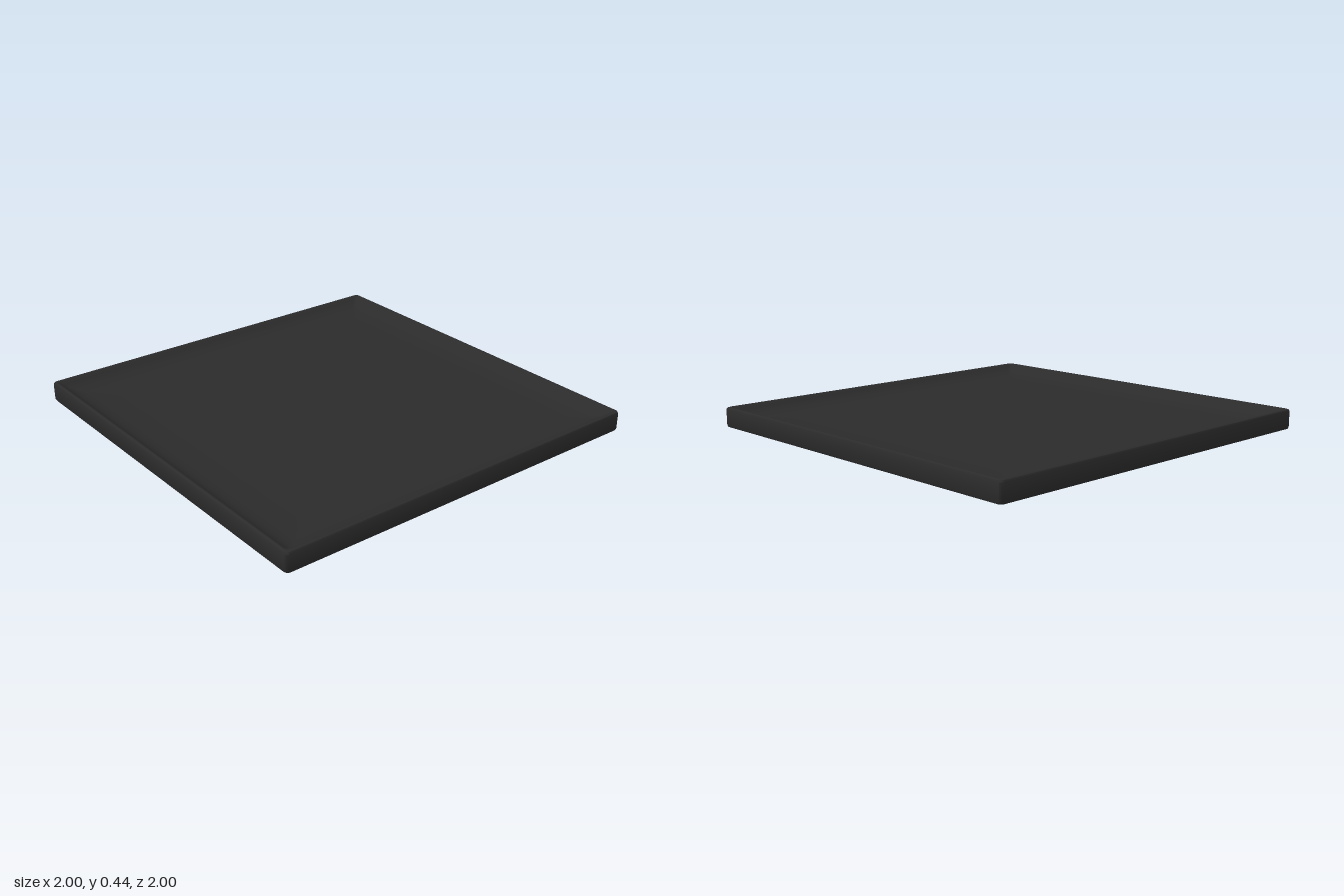
import * as THREE from 'three';
import { toCreasedNormals } from 'three/addons/utils/BufferGeometryUtils.js';

// Stack of rounded-square rings; each ring is [half width, height]
function squareLoft(rings, arcSteps = 4) {
  const positions = [];
  const index = [];
  const count = 4 * (arcSteps + 1);
  rings.forEach(([half, y], i) => {
    const radius = Math.min(0.02, half);
    for (let corner = 0; corner < 4; corner++) {
      const mid = (corner + 0.5) * Math.PI / 2;
      const cx = Math.sign(Math.cos(mid)) * (half - radius);
      const cz = -Math.sign(Math.sin(mid)) * (half - radius);
      for (let k = 0; k <= arcSteps; k++) {
        const a = (corner + k / arcSteps) * Math.PI / 2;
        positions.push(cx + radius * Math.cos(a), y, cz - radius * Math.sin(a));
      }
    }
    if (i === 0) return;
    for (let j = 0; j < count; j++) {
      const next = (j + 1) % count;
      const a = (i - 1) * count + j;
      const b = (i - 1) * count + next;
      const c = i * count + next;
      const d = i * count + j;
      index.push(a, b, c, a, c, d);
    }
  });
  const geometry = new THREE.BufferGeometry();
  geometry.setAttribute('position', new THREE.Float32BufferAttribute(positions, 3));
  geometry.setIndex(index);
  return toCreasedNormals(geometry, 0.6);
}

export function createModel() {
  const model = new THREE.Group();
  model.name = 'footedSquareTray';

  // Square tray: flat underside, upright sides, thin rim, shallow hollow top
  const tray = new THREE.Mesh(
    squareLoft([
      [0.001, 0.337], [0.985, 0.337], [0.996, 0.341], [1, 0.35],
      [1, 0.43], [0.996, 0.438], [0.988, 0.441], [0.978, 0.438],
      [0.965, 0.425], [0.945, 0.41], [0.915, 0.398], [0.87, 0.39],
      [0.75, 0.384], [0.5, 0.379], [0.25, 0.376], [0.001, 0.375],
    ]),
    new THREE.MeshStandardMaterial({ color: 0x2b2b2b })
  );
  tray.name = 'tray';
  model.add(tray);

  // Tapered round foot: flat base, small rounded rim, bulging side
  const side = new THREE.CatmullRomCurve3([
    [0.087, 0.02], [0.107, 0.06], [0.138, 0.13], [0.159, 0.2], [0.171, 0.27], [0.177, 0.345],
  ].map(([r, y]) => new THREE.Vector3(r, y, 0)));
  const profile = [
    new THREE.Vector2(0, 0),
    new THREE.Vector2(0.05, 0),
    new THREE.Vector2(0.068, 0.004),
    new THREE.Vector2(0.08, 0.01),
    ...side.getPoints(20).map((p) => new THREE.Vector2(p.x, p.y)),
  ];
  const foot = new THREE.Mesh(
    new THREE.LatheGeometry(profile, 48),
    new THREE.MeshStandardMaterial({ color: 0xdb9630 })
  );
  foot.name = 'foot';
  model.add(foot);

  return model;
}
